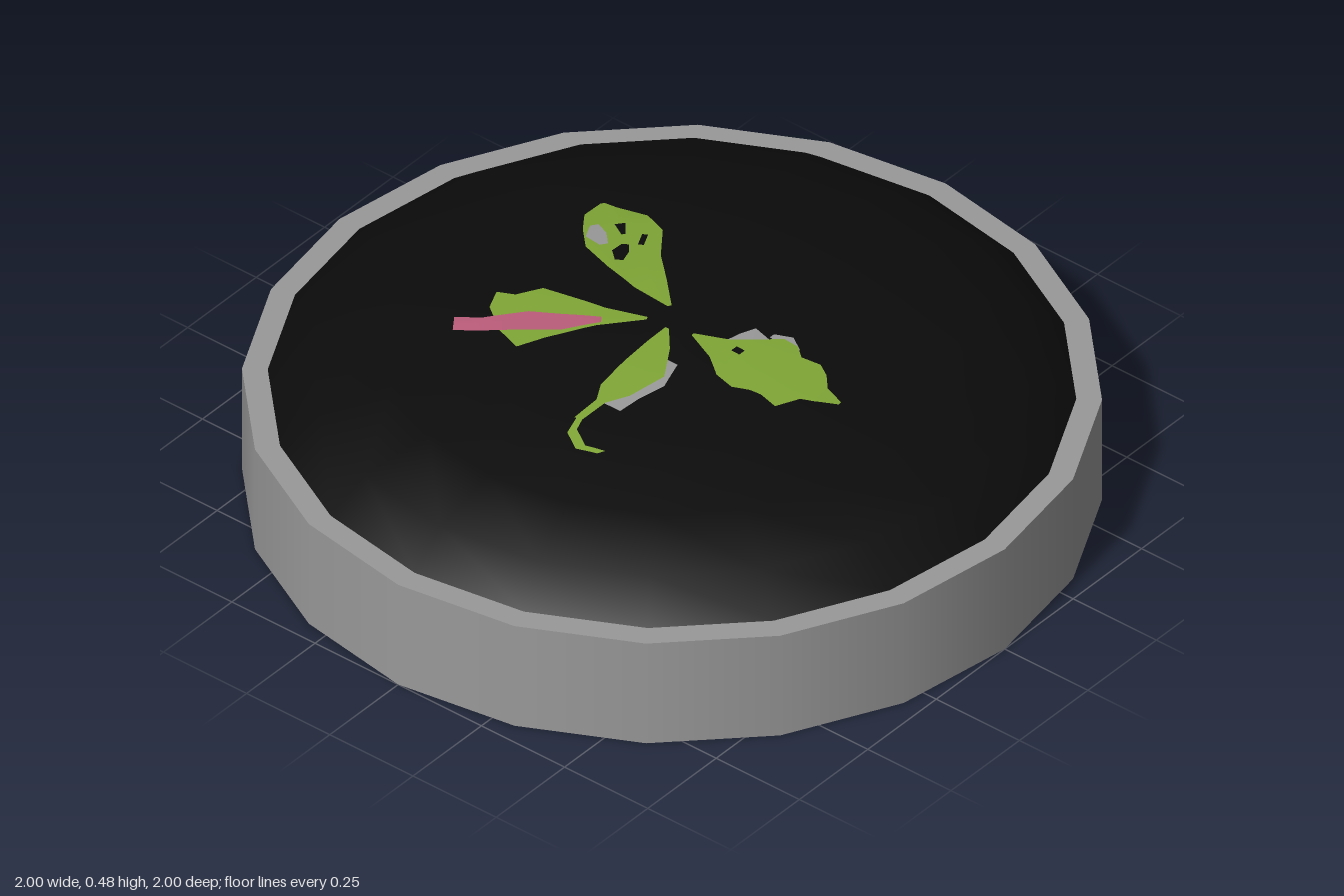
import * as THREE from 'three';

const SIDES = 20;
const BASE_HEIGHT = 0.29;
// dome profile from the centre outwards: radius, height
const DOME = [[0, 0.473], [0.2, 0.468], [0.43, 0.451], [0.67, 0.417], [0.845, 0.369], [0.94, BASE_HEIGHT]];

// height of the faceted dome above a point
function domeHeight(x, z) {
  const step = (2 * Math.PI) / SIDES;
  const angle = (Math.floor(Math.atan2(x, z) / step) + 0.5) * step;
  const r = (x * Math.sin(angle) + z * Math.cos(angle)) / Math.cos(step / 2);
  const i = DOME.findIndex(([radius]) => radius > r);
  const [r0, y0] = DOME[i - 1], [r1, y1] = DOME[i];
  return THREE.MathUtils.mapLinear(r, r0, r1, y0, y1);
}

// blade draped over the dome; each section is centre x, centre z, half width, in hundredths
function blade(sections, lift) {
  const last = sections.length - 1;
  const dx = sections[last][0] - sections[0][0], dz = sections[last][1] - sections[0][1];
  const length = Math.hypot(dx, dz);
  const geometry = new THREE.PlaneGeometry(2, 1, 12, last * 4);
  const pos = geometry.attributes.position;
  for (let i = 0; i < pos.count; i++) {
    const t = (pos.getY(i) + 0.5) * last;
    const k = Math.min(Math.floor(t), last - 1);
    const [cx, cz, w] = sections[k].map((v, j) => THREE.MathUtils.lerp(v, sections[k + 1][j], t - k) / 100);
    const offset = (pos.getX(i) * w) / length;
    const x = cx - dz * offset, z = cz + dx * offset;
    pos.setXYZ(i, x, domeHeight(x, z) + lift, z);
  }
  geometry.computeVertexNormals();
  return geometry;
}

export function createModel() {
  const group = new THREE.Group();
  const material = (name, color) => {
    const m = new THREE.MeshStandardMaterial({ color });
    m.name = name;
    return m;
  };
  const grey = material('grey', 0x999999);
  const black = material('black', 0x0b0b0b);
  const green = material('leaf green', 0x80a636);
  const pink = material('pink', 0xba5c7a);
  const add = (name, geometry, mat) => {
    const mesh = new THREE.Mesh(geometry, mat);
    mesh.name = name;
    group.add(mesh);
    return mesh;
  };
  const under = (name, mat, ...sections) => add(name, blade(sections, 0.0025), mat);
  const middle = (name, mat, ...sections) => add(name, blade(sections, 0.004), mat);
  const over = (name, mat, ...sections) => add(name, blade(sections, 0.0055), mat);

  // round base with a flat rim
  add('base', new THREE.CylinderGeometry(1, 1, BASE_HEIGHT, SIDES), grey).position.y = BASE_HEIGHT / 2;

  // shallow dome
  const profile = DOME.map(([r, y]) => new THREE.Vector2(r, y)).reverse();
  add('dome', new THREE.LatheGeometry(profile, SIDES), black);

  // back right leaf with a pink bud along it
  middle('backRightLeaf', green, [-3, -5, 0.5], [-9, -14, 3.5], [-15, -23, 8.5], [-18.5, -27.5, 11.5],
    [-20, -33, 7], [-18, -39, 3]);
  over('bud', pink, [-30, -41, 2.5], [-27, -35, 2.5], [-20, -27, 3.5], [-16, -20, 3], [-10, -13, 1]);

  // back left leaf with a grey patch and dark gaps
  middle('backLeftLeaf', green, [4, -4, 0.5], [8, -13, 4], [13, -22, 6.5], [19, -30, 9.5], [23, -36, 8],
    [25, -42, 4], [28, -44, 0.5]);
  over('leafPatch', grey, [14, -32, 1], [16, -36, 2.5], [19, -39, 1]);
  over('leafGap', black, [11, -25, 1], [14, -27, 2], [17, -28, 0.8]);
  over('leafGap', black, [20, -31, 0.5], [23, -34.5, 1.3]);
  over('leafGap', black, [19, -25, 0.7], [23, -27, 0.7]);

  // right leaf with a thin curling tendril and grey edge
  middle('rightLeaf', green, [-3, 1, 0.5], [-9, 3.5, 3], [-18, 6.5, 5.5], [-28, 6, 4], [-33, 5.8, 1.2],
    [-41, 5.5, 1]);
  middle('tendril', green, [-40, 5.5, 1], [-45, 7, 1.2], [-48, 12, 1.2], [-46.5, 17, 1]);
  under('leafShade', grey, [-33, 8.5, 3], [-27, 8, 4.2], [-20, 9, 5], [-12, 8, 3.5]);

  // front leaf with grey edges and a small dark gap
  middle('frontLeaf', green, [-1, 7, 0.4], [-1, 15, 4], [-1, 20, 8], [1, 25, 11], [2, 29, 10], [1, 32, 8.5],
    [1, 37, 9.5], [3, 40, 5.5], [2, 43, 3], [3, 48, 0.5]);
  under('leafShade', grey, [1, 17, 3], [6, 18, 3], [10, 19, 2.5]);
  under('leafShade', grey, [11, 21, 0.8], [12, 25, 2], [11, 29, 0.5]);
  over('leafGap', black, [0, 19, 1.2], [2, 19, 1.2]);

  return group;
}
